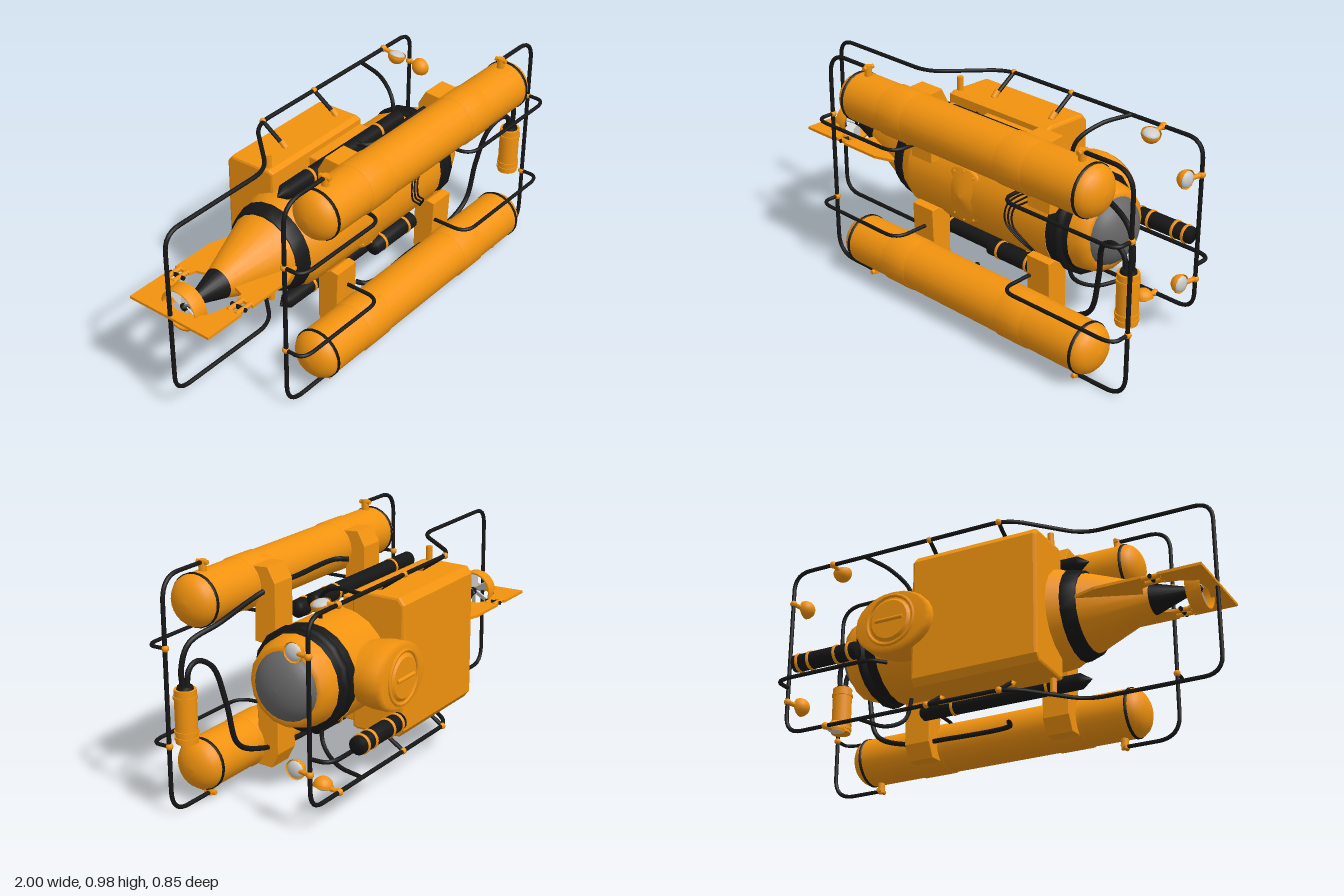
import * as THREE from 'three';

const mat = (color) => new THREE.MeshStandardMaterial({ color, side: THREE.DoubleSide });
const ORANGE = mat(0xf2930f), BLACK = mat(0x161616), GLASS = mat(0x666666), LIGHT = mat(0xcccccc);
const V = (x, y, z) => new THREE.Vector3(x, y, z);
const SIDES = [1, -1];

export function createModel() {
  const root = new THREE.Group();
  root.position.y = 0.497; // everything below is mirrored about y = 0

  const add = (name, geo, material, x = 0, y = 0, z = 0) => {
    const m = new THREE.Mesh(geo, material);
    m.name = name;
    m.position.set(x, y, z);
    root.add(m);
    return m;
  };
  // solid of revolution about the x axis, profile given as [x, radius]
  const spin = (name, pts, material, y = 0, z = 0, seg = 20) =>
    add(name, new THREE.LatheGeometry(pts.map(([x, r]) => new THREE.Vector2(r, x)), seg).rotateZ(-Math.PI / 2),
      material, 0, y, z);
  // cylinder between two points
  const rod = (name, a, b, r0, r1, material, seg = 14) => {
    const d = b.clone().sub(a);
    const m = add(name, new THREE.CylinderGeometry(r1, r0, d.length(), seg), material);
    m.position.copy(a).add(b).multiplyScalar(0.5);
    m.quaternion.setFromUnitVectors(V(0, 1, 0), d.normalize());
    return m;
  };
  // pipe through points with rounded corners
  const pipe = (name, pts, r = 0.009, bend = 0.08, seg = 90) => {
    const path = new THREE.CurvePath();
    let from = pts[0];
    for (let i = 1; i < pts.length - 1; i++) {
      const p = pts[i];
      const cut = (q) => p.clone().lerp(q, Math.min(0.48, bend / p.distanceTo(q)));
      const a = cut(pts[i - 1]), b = cut(pts[i + 1]);
      path.add(new THREE.LineCurve3(from, a));
      path.add(new THREE.QuadraticBezierCurve3(a, p, b));
      from = b;
    }
    path.add(new THREE.LineCurve3(from, pts[pts.length - 1]));
    return add(name, new THREE.TubeGeometry(path, seg, r, 8), BLACK);
  };
  const hose = (name, pts, r = 0.011) =>
    add(name, new THREE.TubeGeometry(new THREE.CatmullRomCurve3(pts), 60, r, 8), BLACK);
  const polygon = (pts) => new THREE.Shape(pts.map(([a, b]) => new THREE.Vector2(a, b)));
  // cross-section in (z, y) extruded along x
  const slab = (name, pts, x0, x1, bevel = 0.012) => {
    const d = x1 - x0 - 2 * bevel;
    const g = new THREE.ExtrudeGeometry(polygon(pts), {
      depth: d, bevelSize: bevel, bevelThickness: bevel, bevelOffset: -bevel, bevelSegments: 2 });
    return add(name, g.translate(0, 0, -d / 2).rotateY(-Math.PI / 2), ORANGE, (x0 + x1) / 2);
  };

  // pressure hull with tail cone, bands and nose dome
  spin('tailTip', [[-0.89, 0], [-0.86, 0.022], [-0.72, 0.066]], BLACK);
  spin('tailCone', [[-0.72, 0.066], [-0.45, 0.168]], ORANGE);
  spin('tailBand', [[-0.45, 0.168], [-0.45, 0.178], [-0.39, 0.196], [-0.39, 0.18]], BLACK);
  spin('hullShoulder', [[-0.39, 0.185], [-0.33, 0.212]], ORANGE);
  spin('hull', [[-0.33, 0.212], [-0.3, 0.215], [0.47, 0.215]], ORANGE);
  spin('noseBand', [[0.47, 0.213], [0.52, 0.207], [0.57, 0.195]], BLACK);
  spin('noseRing', [[0.52, 0.19], [0.52, 0.219], [0.548, 0.219], [0.548, 0.19]], BLACK, 0, 0, 16);
  spin('nose', [[0.548, 0.193], [0.6, 0.185], [0.645, 0.168], [0.645, 0.14]], ORANGE, 0, 0, 16);
  const dome = [];
  for (let i = 0; i <= 8; i++) {
    const a = (i / 8) * Math.PI / 2;
    dome.push([0.625 + 0.093 * Math.sin(a), 0.147 * Math.cos(a)]);
  }
  spin('noseDome', dome, GLASS, 0, 0, 28);

  // bolted round cover on the belly
  const cover = [[0.128, 0.12], [0.128, 0.187], [0.118, 0.194], [0.05, 0.217], [0, 0.226]];
  add('bellyCover', new THREE.LatheGeometry(cover.map((p) => new THREE.Vector2(...p)), 24).rotateX(Math.PI / 2), ORANGE);
  for (let i = 0; i < 12; i++) {
    const a = (i / 12) * Math.PI * 2;
    add('coverBolt', new THREE.SphereGeometry(0.006, 6, 5), ORANGE, 0.11 * Math.cos(a), 0.11 * Math.sin(a), 0.197);
  }
  // thin lines lying on the hull
  for (let i = 0; i < 3; i++) {
    const pts = [[0.42, 0.16], [0.36 - i * 0.03, 0.1], [0.3 - i * 0.02, 0.05], [0.3 - i * 0.02, -0.02],
      [0.36 - i * 0.02, -0.08], [0.4, -0.15]].map(([x, y]) => V(x, y, Math.sqrt(0.219 ** 2 - y * y)));
    hose('hullLine', pts, 0.004);
  }

  // deck housing and hatch tower
  slab('deckHousing', [[-0.045, -0.29], [-0.07, -0.3], [-0.265, -0.295], [-0.289, -0.265],
    [-0.289, 0.265], [-0.265, 0.295], [-0.07, 0.3], [-0.045, 0.29]], -0.335, 0.24);
  slab('deckSill', [[0, -0.265], [-0.08, -0.268], [-0.08, 0.268], [0, 0.265]], -0.105, 0.235, 0.006);
  const tower = new THREE.LatheGeometry([[0.13, 0], [0.15, 0.12], [0.182, 0.245], [0.182, 0.31], [0.165, 0.332], [0, 0.332]]
    .map((p) => new THREE.Vector2(...p)), 24).rotateX(-Math.PI / 2);
  tower.scale(1, 0.76, 1);
  add('hatchTower', tower, ORANGE, 0.315);
  rod('hatchLid', V(0.315, 0, -0.325), V(0.315, 0, -0.342), 0.105, 0.085, ORANGE, 24);
  add('hatchRim', new THREE.TorusGeometry(0.11, 0.008, 6, 24), ORANGE, 0.315, 0, -0.333);
  rod('hatchHandle', V(0.25, 0, -0.342), V(0.38, 0, -0.342), 0.009, 0.009, ORANGE);

  // tail fins, duct and propeller
  for (const s of SIDES) {
    const plates = {
      fixedFin: [[-0.75, 0.205], [-0.55, 0.205], [-0.44, 0.17], [-0.5, 0.1], [-0.7, 0.06], [-0.72, 0.12], [-0.75, 0.13]],
      tailFin: [[-1, 0], [-1, 0.205], [-0.815, 0.205], [-0.815, 0.13], [-0.885, 0.115], [-0.93, 0.085], [-0.95, 0]],
    };
    for (const [name, pts] of Object.entries(plates)) {
      const g = new THREE.ExtrudeGeometry(polygon(pts.map(([x, z]) => [x, s * z])), { depth: 0.012, bevelEnabled: false });
      add(name, g.translate(0, 0, -0.006).rotateX(Math.PI / 2), ORANGE);
    }
    for (const z of [0.145, 0.185]) rod('finHinge', V(-0.825, 0, s * z), V(-0.74, 0, s * z), 0.011, 0.011, ORANGE, 8);
    rod('finHingePin', V(-0.783, 0, s * 0.125), V(-0.783, 0, s * 0.2), 0.009, 0.009, BLACK, 8);
  }
  spin('propellerDuct', [[-0.945, 0.083], [-0.945, 0.09], [-0.885, 0.094], [-0.885, 0.083], [-0.945, 0.083]], ORANGE, 0, 0, 24);
  for (let i = 0; i < 6; i++) {
    const blade = new THREE.BoxGeometry(0.006, 0.07, 0.032).rotateY(0.6).translate(-0.905, 0.046, 0);
    add('propellerBlade', blade.rotateX(i * Math.PI / 3), LIGHT);
  }
  spin('propellerHub', [[-0.93, 0], [-0.92, 0.016], [-0.87, 0.02]], BLACK);

  for (const s of SIDES) {
    // pontoon with bands and saddle straps
    const py = s * 0.337, pz = 0.312, R = 0.107;
    const p = [];
    for (let i = 0; i <= 6; i++) p.push([-0.49 - 0.07 * Math.cos(i * Math.PI / 12), R * Math.sin(i * Math.PI / 12)]);
    for (let i = 0; i <= 6; i++) p.push([0.79 + 0.07 * Math.sin(i * Math.PI / 12), R * Math.cos(i * Math.PI / 12)]);
    spin('pontoon', p, ORANGE, py, pz, 24);
    const strap = (name, a, b, r, m) => spin(name, [[a, R - 0.01], [a, r], [b, r], [b, R - 0.01]], m, py, pz, 24);
    for (const x of [-0.49, 0.79]) strap('pontoonBand', x - 0.006, x + 0.006, R + 0.003, BLACK);
    for (const [a, b] of [[-0.28, -0.14], [0.385, 0.525]]) {
      strap('pontoonStrap', a, b, R + 0.004, ORANGE);
      const prof = [[0.135, 0.15], [0.135, 0.36], [0.17, 0.425], [0.25, 0.42], [0.23, 0.3], [0.237, 0.11], [0.2, 0.105]];
      slab('pontoonBracket', prof.map(([z, y]) => [z, s * y]), a + 0.01, b - 0.01, 0.003);
    }

    // pod cylinders beside the hull
    const pod = (x0, x1, tail, y, z, r) => {
      spin('pod', [[x0 - tail, 0], [x0, r], [x1, r], [x1, r * 0.6], [x1 + 0.012, r * 0.6], [x1 + 0.012, 0]], BLACK, y, z, 16);
      for (const t of [0.2, 0.8]) {
        const x = x0 + (x1 - x0) * t;
        spin('podClamp', [[x - 0.006, r], [x - 0.006, r + 0.003], [x + 0.006, r + 0.003], [x + 0.006, r]], ORANGE, y, z, 16);
      }
    };
    pod(-0.37, 0.37, 0.05, s * 0.268, 0.05, 0.034);
    pod(0.1, 0.37, 0.008, s * 0.222, 0.13, 0.038);

    // skid runners joined to the end hoops
    const ry = s * 0.198;
    pipe('rearRunner', [V(-0.685, ry, 0.31), V(-0.685, ry, 0.4), V(-0.2, ry, 0.4), V(-0.2, ry, 0.22)], 0.008, 0.07);
    pipe('frontRunner', [V(0.985, ry, 0.31), V(0.985, ry, 0.4), V(0.41, ry, 0.4), V(0.41, ry, 0.22)], 0.008, 0.07);
    for (const x of [-0.685, 0.985]) add('frameJoint', new THREE.SphereGeometry(0.015, 10, 8), ORANGE, x, ry, 0.31);
    // clamps fixing the hoops to the pontoon
    for (const x of [-0.44, 0.74]) {
      rod('hoopClamp', V(x, s * 0.43, pz), V(x, s * 0.488, pz), 0.016, 0.016, ORANGE, 10);
      rod('clampBolt', V(x, s * 0.478, pz - 0.026), V(x, s * 0.478, pz + 0.026), 0.01, 0.01, ORANGE, 8);
    }

    // struts carrying the upper rail
    const by = s * 0.377;
    for (const x of [-0.15, 0.18]) {
      rod('railStrut', V(x, by, -0.255), V(x, s * 0.3, -0.14), 0.009, 0.009, BLACK, 8);
      rod('strutFoot', V(x, s * 0.32, -0.155), V(x, s * 0.295, -0.13), 0.014, 0.014, ORANGE, 10);
      add('railJoint', new THREE.SphereGeometry(0.014, 10, 8), ORANGE, x, by, -0.255);
    }
    rod('rearPost', V(-0.31, s * 0.26, -0.09), V(-0.31, s * 0.36, -0.09), 0.014, 0.014, ORANGE, 10);
    hose('frontStrut', [V(0.5, by, -0.25), V(0.46, s * 0.367, -0.11), V(0.42, s * 0.31, -0.02), V(0.4, s * 0.2, 0)], 0.009);

    // lamps: one facing forward, one facing outward
    const lamp = (pos, dir, mount) => {
      const g = new THREE.Group();
      g.name = 'lamp';
      const bowl = new THREE.Mesh(new THREE.SphereGeometry(0.04, 14, 8, 0, Math.PI * 2, Math.PI / 2, Math.PI / 2), ORANGE);
      const rim = new THREE.Mesh(new THREE.CylinderGeometry(0.041, 0.041, 0.012, 14, 1, true), ORANGE);
      const lens = new THREE.Mesh(new THREE.SphereGeometry(0.036, 14, 6, 0, Math.PI * 2, 0, Math.PI / 2), LIGHT);
      lens.scale.y = 0.5;
      bowl.name = 'lampBowl'; rim.name = 'lampRim'; lens.name = 'lampLens';
      g.add(bowl, rim, lens);
      g.position.copy(pos);
      g.quaternion.setFromUnitVectors(V(0, 1, 0), dir.normalize());
      root.add(g);
      rod('lampArm', pos, mount, 0.01, 0.01, ORANGE, 8);
      add('lampMount', new THREE.SphereGeometry(0.016, 10, 8), ORANGE, mount.x, mount.y, mount.z);
    };
    lamp(V(0.85, s * 0.232, -0.18), V(1, 0, 0), V(0.865, s * 0.232, -0.255));
    lamp(V(0.665, s * 0.368, -0.18), V(0.25, s, 0.1), V(0.665, by, -0.255));
  }

  // end hoops around the pontoons
  for (const [x0, x1] of [[-0.44, -0.685], [0.74, 0.985]])
    pipe('endHoop', [V(x0, 0.478, 0.312), V(x1, 0.478, 0.312), V(x1, -0.478, 0.312), V(x0, -0.478, 0.312)], 0.009, 0.1);

  // upper rail, a single bent loop
  const rail = (s) => [V(-0.99, s * 0.377, 0), V(-0.42, s * 0.377, 0), V(-0.19, s * 0.377, -0.255), V(0.865, s * 0.377, -0.255)];
  pipe('upperRail', [V(-0.99, 0, 0), ...rail(1), ...rail(-1).reverse(), V(-0.99, 0, 0)], 0.009, 0.08, 260);

  // long cylinder on its bent arm above the deck
  const cx = [[0.44, 0], [0.44, 0.037], [0.74, 0.037], [0.74, 0]];
  spin('sensorCylinder', cx, BLACK, -0.132, -0.385, 18);
  for (const x of [0.465, 0.53, 0.66, 0.715])
    spin('sensorClamp', [[x - 0.006, 0.036], [x - 0.006, 0.041], [x + 0.006, 0.041], [x + 0.006, 0.036]], ORANGE, -0.132, -0.385, 18);
  pipe('sensorArm', [V(0.35, -0.168, -0.29), V(0.4, -0.168, -0.348), V(0.865, -0.168, -0.348), V(0.865, -0.168, -0.255)], 0.009);

  // upright canister at the front and its hoses
  rod('canister', V(0.937, -0.185, 0.262), V(0.937, 0.033, 0.262), 0.044, 0.044, ORANGE, 20);
  for (const y of [-0.165, -0.14, 0.0]) rod('canisterBand', V(0.937, y - 0.006, 0.262), V(0.937, y + 0.006, 0.262), 0.048, 0.048, ORANGE, 20);
  rod('canisterCap', V(0.937, 0.033, 0.262), V(0.937, 0.045, 0.262), 0.034, 0.03, BLACK, 16);
  hose('upperHose', [V(0.0, 0.343, 0.12), V(0.02, 0.343, 0.165), V(0.33, 0.343, 0.165), V(0.42, 0.343, 0.17), V(0.55, 0.31, 0.2),
    V(0.78, 0.26, 0.21), V(0.92, 0.21, 0.25), V(0.955, 0.12, 0.262), V(0.95, 0.03, 0.262)]);
  hose('lowerHose', [V(0.0, -0.352, 0.12), V(0.02, -0.352, 0.165), V(0.33, -0.352, 0.17), V(0.55, -0.33, 0.19), V(0.7, -0.26, 0.2),
    V(0.75, -0.08, 0.21), V(0.79, 0.08, 0.24), V(0.86, 0.122, 0.26), V(0.91, 0.1, 0.262), V(0.925, 0.03, 0.262)]);
  return root;
}
